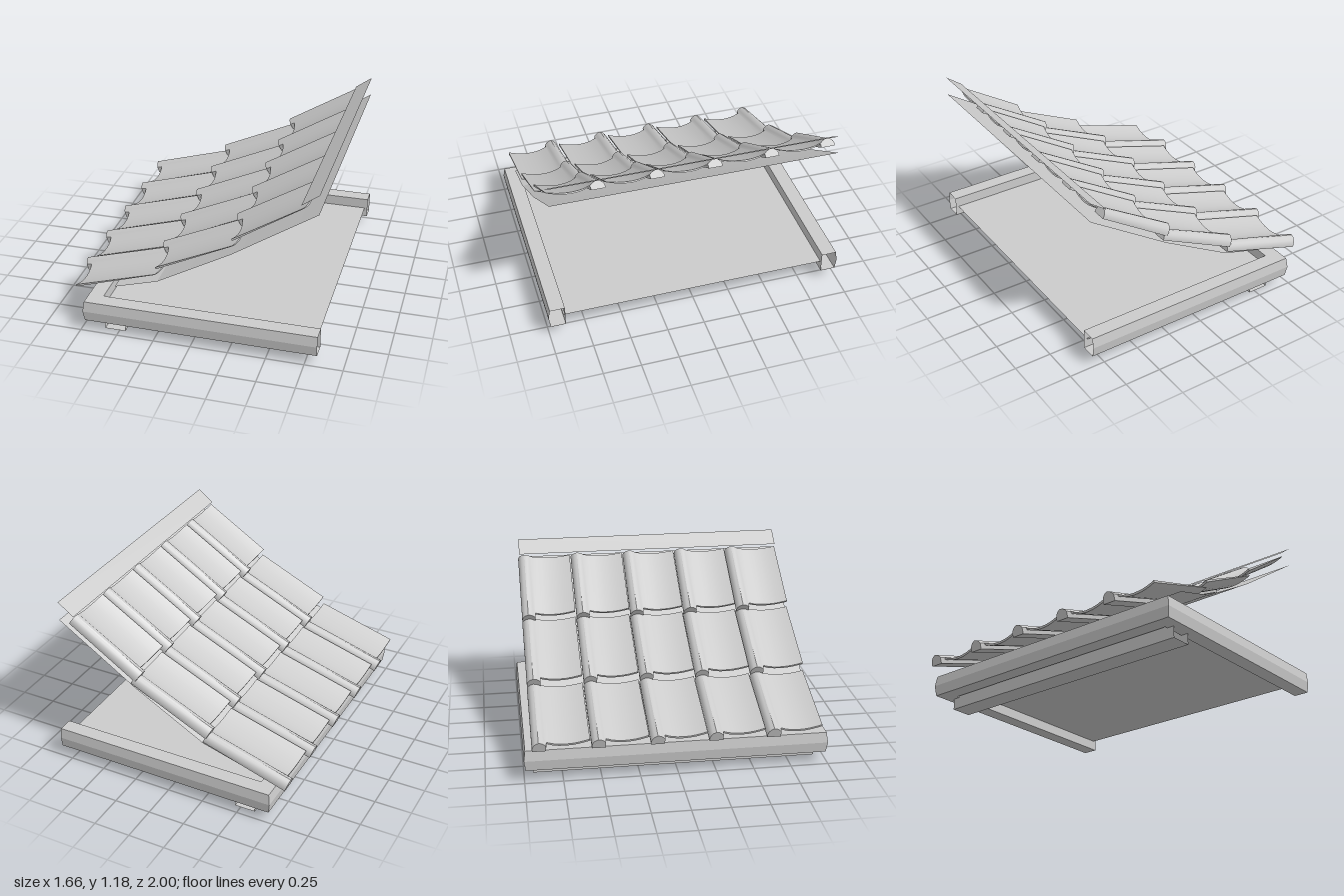
import * as THREE from 'three';
import { toCreasedNormals } from 'three/addons/utils/BufferGeometryUtils.js';

const material = new THREE.MeshStandardMaterial({ color: 0xcccccc, side: THREE.DoubleSide });

// Surface through equal-length rows of [x, y, z] points
function loft(rows, crease = 0.4) {
  const n = rows[0].length, index = [];
  for (let i = 0; i < rows.length - 1; i++) {
    for (let j = 0; j < n - 1; j++) {
      const a = i * n + j, b = a + n;
      index.push(a, b, b + 1, a, b + 1, a + 1);
    }
  }
  const geometry = new THREE.BufferGeometry();
  geometry.setAttribute('position', new THREE.Float32BufferAttribute(rows.flat(2), 3));
  geometry.setIndex(index);
  return toCreasedNormals(geometry, crease);
}

function part(name, geometry) {
  const mesh = new THREE.Mesh(geometry, material);
  mesh.name = name;
  return mesh;
}

// Thin sheet: an x,y profile swept across the roof width
function sheet(name, profile, half = 0.94) {
  return part(name, loft([half, -half].map(z => profile.map(([x, y]) => [x, y, z])), 0.1));
}

// Tile section: distance across the tile, height of its upper face
const tileProfile = [
  [0, 0.02], [0.008, 0.044], [0.022, 0.06], [0.042, 0.07], [0.062, 0.066], [0.078, 0.055],
  [0.09, 0.042], [0.094, 0.04], [0.13, 0.026], [0.17, 0.018], [0.21, 0.015], [0.26, 0.018],
  [0.3, 0.025], [0.34, 0.036], [0.37, 0.046],
];
const rollWidth = 0.091;

// One tile from its lower to its upper end; the roll juts out past the pan
function tileGeometry([x0, y0], [x1, y1]) {
  const length = Math.hypot(x1 - x0, y1 - y0);
  const c = (x1 - x0) / length, s = (y1 - y0) / length;
  const place = (u, h, t) => [x0 + c * u - s * h, y0 + s * u + c * h, t];
  const rows = tileProfile.map(([t, h]) => {
    const roll = t < rollWidth;
    const start = roll ? 0 : 0.038;
    const under = roll ? 0 : Math.max(0, h - 0.014);
    const top = h * 0.78;
    return [
      place(start, h, t), place(length, top, t),
      place(length, Math.min(under, top), t), place(start, under, t), place(start, h, t),
    ];
  });
  // Close both long edges
  const closed = row => row.map(() => row[0].map((v, k) => (row[0][k] + row[2][k]) / 2));
  return loft([closed(rows[0]), ...rows, closed(rows[rows.length - 1])], 0.6);
}

export function createModel() {
  const model = new THREE.Group();
  model.name = 'roofSection';

  // Three overlapping courses, each steeper than the one below
  const courses = [
    [[-0.81, 0.25], [-0.235, 0.435]],
    [[-0.255, 0.465], [0.28, 0.725]],
    [[0.25, 0.745], [0.72, 1.05]],
  ];
  courses.forEach(([low, high], row) => {
    const course = new THREE.Group();
    course.name = `tileCourse${row + 1}`;
    const geometry = tileGeometry(low, high);
    for (let i = 0; i < 5; i++) {
      const tile = part('roofTile', geometry);
      tile.position.z = -0.948 + i * 0.379;
      course.add(tile);
    }
    model.add(course);
  });

  // Sheet under the tiles and the strip along the top edge
  model.add(sheet('underlay', [[-0.52, 0.335], [-0.23, 0.42], [0.25, 0.69], [0.8, 1.05]]));
  model.add(sheet('ridgeStrip', [[0.69, 1.1], [0.8, 1.18]]));

  // Hollow three-sided frame with mitred corners, open at its ends
  const section = [[0.01, 0.075], [0, 0.145], [0.01, 0.215], [0.11, 0.215], [0.11, 0.075], [0.01, 0.075]];
  const corners = [
    d => [0.83, 1 - d], d => [-0.73 + d, 1 - d],
    d => [-0.73 + d, -1 + d], d => [0.83, -1 + d],
  ];
  model.add(part('eavesFrame', loft(corners.map(at => section.map(([d, y]) => {
    const [x, z] = at(d);
    return [x, y, z];
  })), 0.05)));

  // Open-ended crossbeam below the frame
  model.add(sheet('crossbeam', [[-0.6, 0], [-0.6, 0.14], [-0.46, 0.14], [-0.46, 0], [-0.6, 0]]));

  // Flat ceiling panel inside the frame
  model.add(sheet('ceilingPanel', [[-0.62, 0.142], [0.81, 0.142]], 0.9));

  return model;
}
